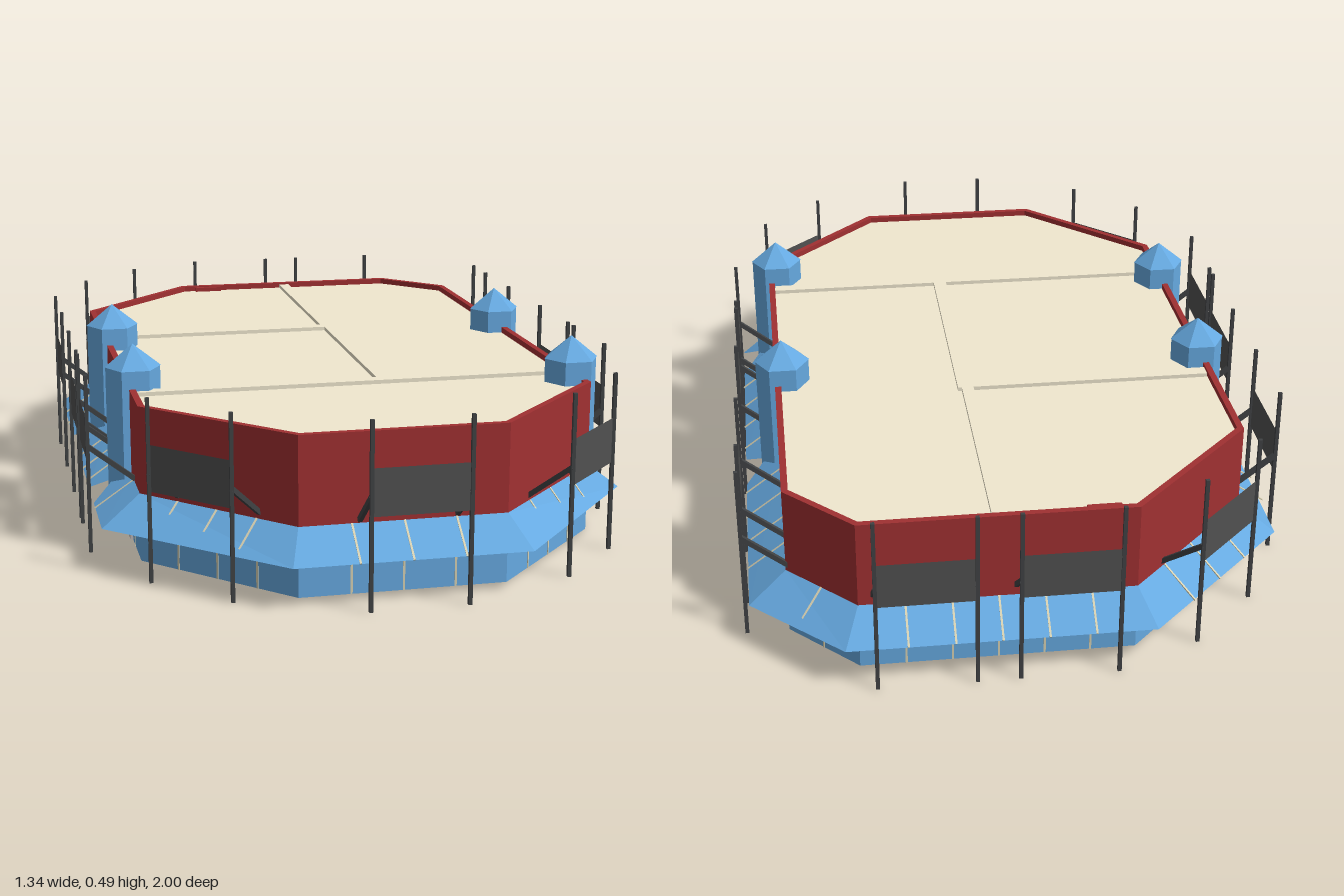
import * as THREE from 'three';

const mat = (color, side = THREE.FrontSide) =>
  new THREE.MeshStandardMaterial({ color, side, flatShading: true });
const V = (x, y, z) => new THREE.Vector3(x, y, z);

// Wall outline as [x, z], clockwise from above, starting at the back.
const WALL = [[-0.245, -0.905], [0.405, -0.905], [0.565, -0.74], [0.575, 0.55],
  [0.26, 0.875], [-0.235, 0.875], [-0.555, 0.55], [-0.565, -0.58]];
// Outer edge of the skirt roof, matching the wall corners.
const EAVES = [[-0.28, -0.99], [0.44, -0.99], [0.655, -0.78], [0.662, 0.54],
  [0.295, 0.965], [-0.265, 0.965], [-0.652, 0.6], [-0.652, -0.62]];
const TOWERS = [[0.548, -0.165], [0.55, 0.468], [-0.54, -0.165], [-0.54, 0.33]];
// Hung panels: the two post positions [x1, z1, x2, z2].
const PANELS = [[-0.095, 0.995, 0.135, 0.995], [-0.19, -0.995, 0.04, -0.995],
  [0.14, -0.995, 0.37, -0.995], [-0.56, -0.74, -0.395, -0.905],
  [-0.55, 0.705, -0.385, 0.87], [0.415, 0.87, 0.577, 0.705],
  [0.665, 0.4, 0.665, 0.175], [0.665, 0.13, 0.665, -0.1], [0.665, -0.385, 0.665, -0.615],
  [-0.668, -0.52, -0.668, -0.285], [-0.668, -0.04, -0.668, 0.19], [-0.668, 0.233, -0.668, 0.46]];

// Outward normal [x, z] of the outline edge from a to b.
function edgeNormal(a, b) {
  const dx = b[0] - a[0], dz = b[1] - a[1], l = Math.hypot(dx, dz);
  return [dz / l, -dx / l];
}

// Moves every edge of a closed outline outward by d.
function offset(pts, d) {
  const n = pts.length;
  return pts.map((p, i) => {
    const a = edgeNormal(pts[(i + n - 1) % n], p), b = edgeNormal(p, pts[(i + 1) % n]);
    const k = d / (1 + a[0] * b[0] + a[1] * b[1]);
    return [p[0] + (a[0] + b[0]) * k, p[1] + (a[1] + b[1]) * k];
  });
}

// Upright prism over an outline, with an optional hole wound the other way.
function prism(pts, y0, y1, hole) {
  const flat = (list) => list.map(([x, z]) => new THREE.Vector2(x, -z));
  const shape = new THREE.Shape(flat(pts));
  if (hole) shape.holes.push(new THREE.Path(flat(hole).reverse()));
  const g = new THREE.ExtrudeGeometry(shape, { depth: y1 - y0, bevelEnabled: false });
  return g.rotateX(-Math.PI / 2).translate(0, y0, 0);
}

// Skirt roof: a sloping strip, pulled in around each tower.
function skirtGeometry() {
  const rows = [];
  WALL.forEach((w, i) => {
    const e = EAVES[i], w2 = WALL[(i + 1) % 8], e2 = EAVES[(i + 1) % 8];
    rows.push([V(w[0], 0.17, w[1]), V(e[0], 0.104, e[1])]);
    if (i !== 2 && i !== 6) return;
    const dir = i === 2 ? 1 : -1;
    TOWERS.filter((t) => t[0] * dir > 0).sort((a, b) => (a[1] - b[1]) * dir).forEach(([, z]) => {
      [-0.066, 0, 0.066].forEach((d) => {
        const zz = z + d * dir;
        const at = (a, b) => a[0] + (b[0] - a[0]) * (zz - a[1]) / (b[1] - a[1]);
        const xi = at(w, w2), xo = at(e, e2), k = d === 0 ? 0.4 : 1;
        rows.push([V(xi, 0.17, zz), V(xi + (xo - xi) * k, 0.17 - 0.066 * k, zz)]);
      });
    });
  });
  const pos = [];
  rows.forEach(([a, d], i) => {
    const [b, c] = rows[(i + 1) % rows.length];
    [a, b, d, b, c, d].forEach((p) => pos.push(p.x, p.y, p.z));
  });
  const g = new THREE.BufferGeometry();
  g.setAttribute('position', new THREE.Float32BufferAttribute(pos, 3));
  g.computeVertexNormals();
  return g;
}

export function createModel() {
  const model = new THREE.Group();
  const blue = mat(0x66a9e0), red = mat(0xa03032), tan = mat(0xf0e8cf), cream = mat(0xd8d2b4);
  const grey = mat(0xb8b2b2), dark = mat(0x404244);
  const skirtBlue = mat(0x66a9e0, THREE.DoubleSide), panelGrey = mat(0x505050, THREE.DoubleSide);
  const add = (name, geo, m, parent = model) => {
    const mesh = new THREE.Mesh(geo, m);
    mesh.name = name;
    parent.add(mesh);
    return mesh;
  };
  const box = (name, m, w, h, d, x, y, z, parent) => {
    const mesh = add(name, new THREE.BoxGeometry(w, h, d), m, parent);
    mesh.position.set(x, y, z);
    return mesh;
  };
  // Bar running between two points.
  const bar = (name, a, b, w, h, m, parent) => {
    const mesh = add(name, new THREE.BoxGeometry(w, h, a.distanceTo(b)), m, parent);
    mesh.position.copy(a).lerp(b, 0.5);
    mesh.lookAt(b);
  };

  // Walls, open underneath
  const inner = offset(WALL, -0.016);
  add('baseWall', prism(WALL, 0, 0.083, inner), blue);
  add('baseTrim', prism(offset(WALL, 0.002), 0.081, 0.086, offset(WALL, -0.018)), cream);
  add('upperWall', prism(WALL, 0.085, 0.385, inner), red);
  add('skirtRoof', skirtGeometry(), skirtBlue);

  // Flat roof with the lines of the partitions
  add('flatRoof', prism(inner, 0.362, 0.37), tan);
  const ridge = (x0, x1, z0, z1) => box('roofPartition', tan, x1 - x0, 0.026, z1 - z0,
    (x0 + x1) / 2, 0.367, (z0 + z1) / 2);
  ridge(0.065, 0.095, -0.889, -0.275);
  ridge(-0.545, 0.07, -0.275, -0.24);
  ridge(0.07, 0.105, -0.275, 0.37);
  ridge(-0.538, 0.557, 0.37, 0.402);
  box('parapetBlock', red, 0.08, 0.03, 0.02, -0.165, 0.367, -0.886);

  // Thin light seams, square to each wall, on the skirt and base
  const seams = new THREE.Group();
  seams.name = 'seams';
  model.add(seams);
  WALL.forEach((w, i) => {
    const w2 = WALL[(i + 1) % 8], e = EAVES[i], [nx, nz] = edgeNormal(w, w2);
    const reach = (e[0] - w[0]) * nx + (e[1] - w[1]) * nz;
    const n = Math.round(Math.hypot(w2[0] - w[0], w2[1] - w[1]) / 0.115);
    for (let k = 1; k < n; k++) {
      const x = w[0] + (w2[0] - w[0]) * k / n, z = w[1] + (w2[1] - w[1]) * k / n;
      if (TOWERS.some((t) => Math.hypot(t[0] - x, t[1] - z) < 0.085)) continue;
      bar('skirtSeam', V(x, 0.17, z), V(x + nx * reach, 0.104, z + nz * reach),
        0.005, 0.003, cream, seams);
      box('baseSeam', cream, 0.005, 0.083, 0.019, x - nx * 0.008, 0.0415, z - nz * 0.008, seams)
        .rotation.y = Math.atan2(nx, nz);
    }
  });

  // Six-sided turrets with pointed caps, each above a grey door
  TOWERS.forEach(([x, z]) => {
    const tower = new THREE.Group();
    tower.name = 'tower';
    tower.position.set(x, 0, z);
    model.add(tower);
    add('towerShaft', new THREE.CylinderGeometry(0.068, 0.068, 0.35, 6)
      .rotateY(Math.PI / 6).translate(0, 0.255, 0), blue, tower);
    add('towerCap', new THREE.ConeGeometry(0.07, 0.057, 6)
      .rotateY(Math.PI / 6).translate(0, 0.4585, 0), blue, tower);
    box('towerDoor', grey, 0.024, 0.08, 0.12, (x > 0 ? 0.564 : -0.551) - x, 0.04, 0, tower);
  });

  // Scaffold posts, braces and thin hung panels
  const post = (x, z, nx, nz, parent) => {
    box('post', dark, 0.009, 0.445, 0.009, x, 0.2225, z, parent);
    bar('brace', V(x, 0.268, z), V(x - nx * 0.112, 0.18, z - nz * 0.112), 0.01, 0.012, dark, parent);
  };
  PANELS.forEach(([x1, z1, x2, z2]) => {
    const frame = new THREE.Group();
    frame.name = 'panelFrame';
    model.add(frame);
    let [nx, nz] = edgeNormal([x1, z1], [x2, z2]);
    if (nx * (x1 + x2) + nz * (z1 + z2) < 0) { nx = -nx; nz = -nz; }
    post(x1, z1, nx, nz, frame);
    post(x2, z2, nx, nz, frame);
    const panel = add('hungPanel', new THREE.PlaneGeometry(Math.hypot(x2 - x1, z2 - z1), 0.112),
      panelGrey, frame);
    panel.position.set((x1 + x2) / 2, 0.278, (z1 + z2) / 2);
    panel.rotation.y = Math.atan2(nx, nz);
  });
  post(0.665, -0.74, 1, 0, model);

  return model;
}
